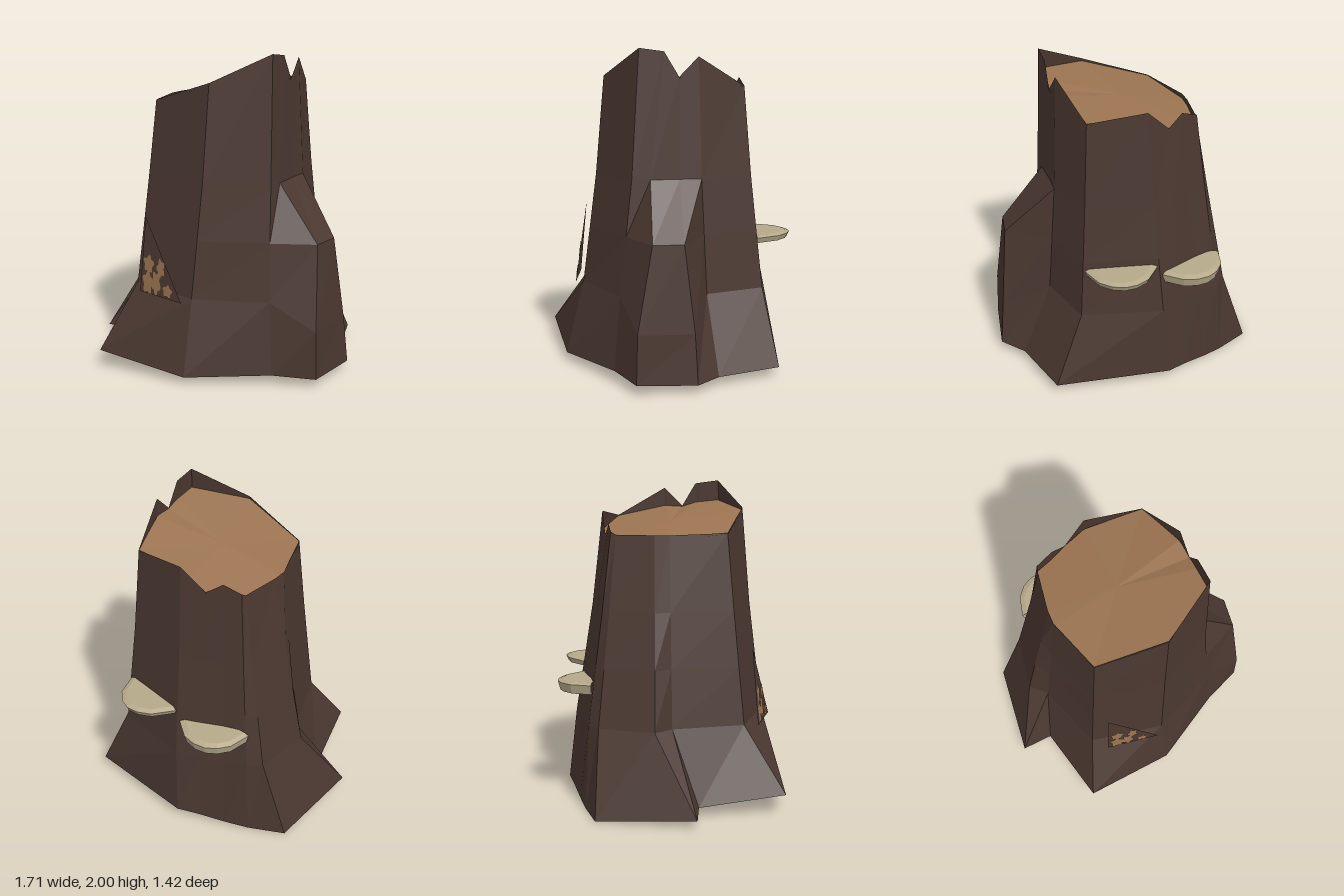
import * as THREE from 'three';

const mat = (name, color, side = THREE.FrontSide) =>
  Object.assign(new THREE.MeshStandardMaterial({ color, flatShading: true, side }), { name });
const lerp = THREE.MathUtils.lerp;

// Flat-shaded geometry from a list of triangles made of [x, y, z] corners
function fromTriangles(tris) {
  const g = new THREE.BufferGeometry();
  g.setAttribute('position', new THREE.Float32BufferAttribute(tris.flat(2), 3));
  g.computeVertexNormals();
  return g;
}

// Fan between a loop and its centre; flip turns it to face down
function fan(loop, centre, flip = false) {
  return loop.map((p, i) => {
    const q = loop[(i + 1) % loop.length];
    return flip ? [centre, q, p] : [centre, p, q];
  });
}

// Wall between closed rings, listed from the top down
function loft(rings) {
  const tris = [];
  for (let r = 0; r < rings.length - 1; r++) {
    const [up, low] = [rings[r], rings[r + 1]];
    up.forEach((a, i) => {
      const j = (i + 1) % up.length;
      tris.push([low[i], low[j], up[j]], [low[i], up[j], a]);
    });
  }
  return tris;
}

// Trunk edge from rim to ground; flareX and flareZ say how far it has spread at knee height
function trunkEdge(rim, ground, flareX, flareZ) {
  const middle = [[1.22, .38], [.88, .68], [.52, 1]].map(([y, share]) => [
    lerp(rim[0], ground[0], flareX * share), y, lerp(rim[2], ground[2], flareZ * share)]);
  return [rim, ...middle, ground];
}

// Edges in order round the trunk, starting at the front; the rim is jagged
const edges = [
  trunkEdge([-.34, 1.69, .35], [-.58, .12, .71], .42, .3),
  trunkEdge([.08, 1.83, .46], [.02, .05, .71], 1, .54),
  trunkEdge([.42, 2, .31], [.51, .07, .49], .55, .75),
  // outer corners of the buttress root
  [[.43, 1.98, .16], [.45, 1.22, .25], [.72, .88, .3], [.76, .36, .4], [.77, .06, .41]],
  [[.44, 1.83, .07], [.46, 1.22, .07], [.76, .88, .12], [.82, .36, .07], [.85, .06, .06]],
  trunkEdge([.44, 1.95, -.05], [.74, .06, -.1], .33, .6),
  trunkEdge([.37, 1.77, -.36], [.66, .06, -.51], .33, .67),
  trunkEdge([.02, 1.81, -.44], [-.05, .07, -.67], .6, .78),
  trunkEdge([-.13, 1.67, -.41], [-.2, .05, -.62], .6, .78),
  trunkEdge([-.23, 1.74, -.38], [-.35, .02, -.57], .7, .78),
  trunkEdge([-.34, 1.7, -.36], [-.5, 0, -.52], .8, .85),
  // spreading side root
  trunkEdge([-.35, 1.68, -.33], [-.73, 0, -.44], .52, .9),
  trunkEdge([-.41, 1.68, -.09], [-.855, .05, .17], .52, .02),
  trunkEdge([-.42, 1.68, 0], [-.65, .06, .18], .57, .1),
];

function trunkGeometry() {
  const rings = [0, 1, 2, 3, 4].map(level => edges.map(e => e[level]));
  return fromTriangles([...loft(rings), ...fan(rings[4], [0, .05, 0], true)]);
}

// Sloping cut face, filling the rim below its jagged points
function cutGeometry() {
  const loop = edges.map(([[x, y, z]]) =>
    [x * 1.005, Math.min(1.74 + .22 * x + .12 * z, y - .005), z * 1.005]);
  return fromTriangles(fan(loop, [0, 1.745, 0]));
}

// Shelf fungus: an arc bulging from the bark between two points, with a bevelled lip
function shelfGeometry([x1, z1], [x2, z2], depth, top, thickness, tilt) {
  const length = Math.hypot(x2 - x1, z2 - z1);
  const steps = 6;
  const outline = Array.from({ length: steps + 1 }, (_, i) => {
    const t = i / steps;
    const out = depth * Math.max(0, Math.sin(Math.PI * t)) ** .6 / length;
    return [lerp(x1, x2, t) - (z2 - z1) * out, lerp(z1, z2, t) + (x2 - x1) * out];
  });
  const cx = (x1 + x2) / 2;
  const cz = -.46;
  const ring = (scale, drop) => outline.map(([x, z]) => {
    const zz = lerp(cz, z, scale);
    return [lerp(cx, x, scale), top - drop - tilt * (zz + .5), zz];
  });
  const rings = [ring(.86, 0), ring(1, .012), ring(.94, thickness)];
  return fromTriangles([
    ...fan(rings[0], [cx, top, cz]),
    ...loft(rings),
    ...fan(rings[2], [cx, top - thickness, cz], true),
  ]);
}

// Flat shape laid on the leaning front of the trunk
function plateGeometry(points, lift) {
  const g = new THREE.ShapeGeometry(new THREE.Shape(points.map(p => new THREE.Vector2(...p))));
  const p = g.attributes.position;
  for (let i = 0; i < p.count; i++) {
    p.setZ(i, .55 + .26 * (p.getX(i) + .37) - .1 * (p.getY(i) - .5) + lift);
  }
  g.computeVertexNormals();
  return g;
}

// Ragged blotch outline, cut off at the lower edge of the patch
function blotch(x, y, rx, ry) {
  return Array.from({ length: 20 }, (_, i) => {
    const a = i / 20 * Math.PI * 2;
    const r = 1 + .22 * Math.sin(5 * a + x * 40);
    return [x + rx * r * Math.cos(a), Math.max(.5, y + ry * r * Math.sin(a))];
  });
}

export function createModel() {
  const model = new THREE.Group();
  model.name = 'treeStump';
  const bark = mat('bark', 0x4a3730, THREE.DoubleSide);
  const wood = mat('cutWood', 0x9a7350, THREE.DoubleSide);
  const cream = mat('fungus', 0xb6a98a);
  const add = (name, geometry, material) => {
    const mesh = new THREE.Mesh(geometry, material);
    mesh.name = name;
    model.add(mesh);
  };

  add('trunk', trunkGeometry(), bark);
  add('cutFace', cutGeometry(), wood);

  // Two shelf fungi on the back
  add('upperShelfFungus', shelfGeometry([.43, -.44], [0, -.57], .21, .84, .045, .03), cream);
  add('lowerShelfFungus', shelfGeometry([-.03, -.58], [-.47, -.48], .18, .78, .07, -.02), cream);

  // Peeling bark patch with bare wood showing through
  add('barkPatch', plateGeometry([[-.37, .5], [-.03, .5], [-.34, .98]], 0), bark);
  const spots = [
    [-.305, .57, .04, .07], [-.3, .69, .04, .05], [-.235, .58, .035, .07],
    [-.2, .68, .03, .055], [-.14, .55, .035, .035],
  ];
  spots.forEach((s, i) =>
    add(`bareWood${i + 1}`, plateGeometry(blotch(...s), .004 + i * .0005), wood));

  return model;
}
